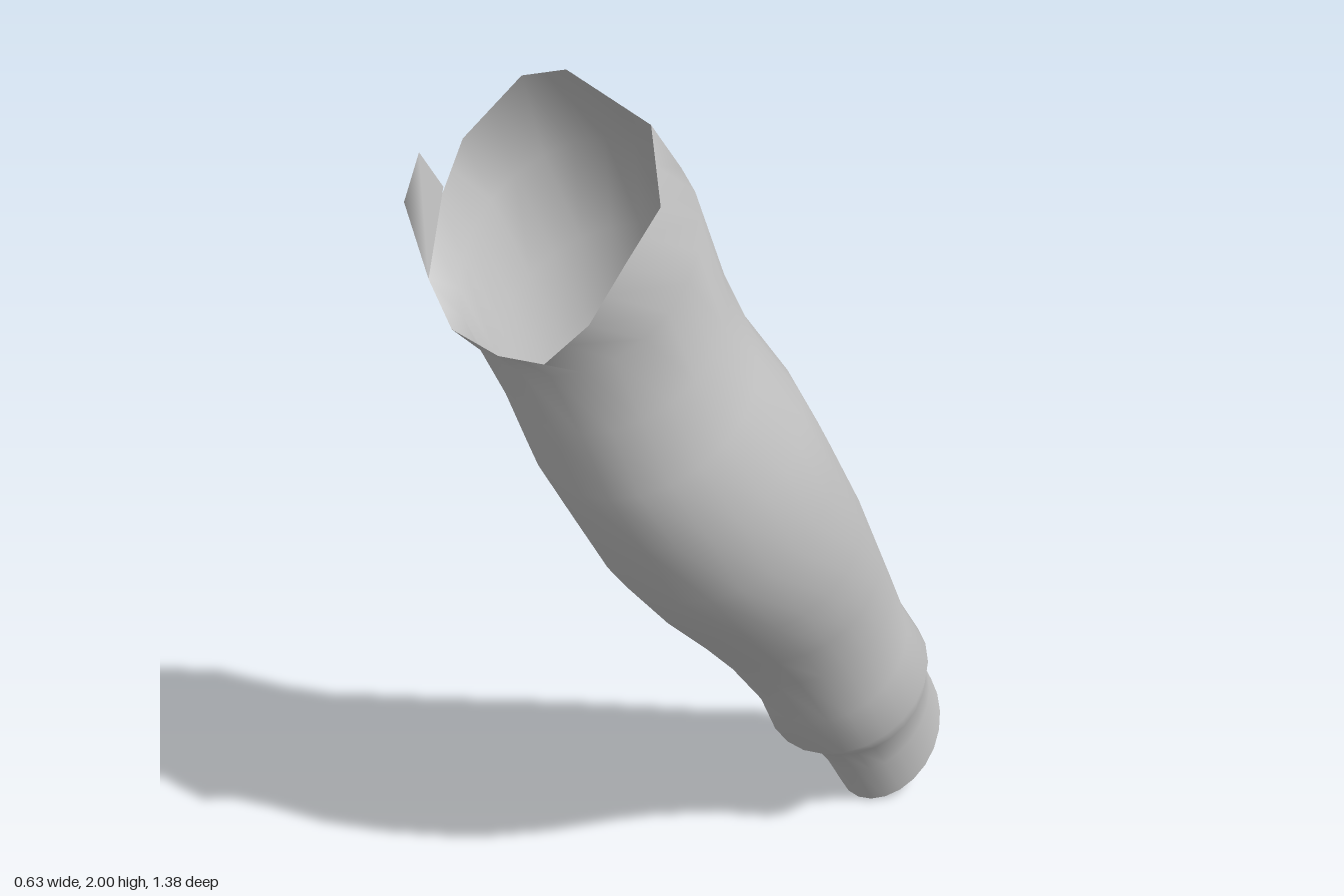
import * as THREE from 'three';

const SIDES = 24;

// Uneven upper opening, anticlockwise seen from above, starting at the left side
const RIM = [
  [0.22, 1.76, 0.65], [0.22, 1.83, 0.54], [0.16, 1.95, 0.48], [-0.05, 2.0, 0.44],
  [-0.15, 1.97, 0.44], [-0.26, 1.84, 0.48], [-0.27, 1.74, 0.54], [-0.25, 1.61, 0.61],
  [-0.16, 1.55, 0.66], [-0.04, 1.535, 0.68], [0.07, 1.55, 0.69], [0.17, 1.65, 0.69],
];

// Tilted oval sections from top to bottom: front y, z, back y, z, x min, x max
const SECTIONS = [
  [1.50, 0.655, 1.83, 0.29, -0.25, 0.23],
  [1.37, 0.60, 1.64, 0.22, -0.215, 0.245],
  [1.22, 0.55, 1.50, 0.15, -0.195, 0.27],
  [1.09, 0.48, 1.34, 0.03, -0.18, 0.305],
  [0.93, 0.38, 1.19, -0.07, -0.17, 0.315],
  [0.78, 0.24, 1.00, -0.20, -0.16, 0.305],
  [0.65, 0.10, 0.84, -0.305, -0.14, 0.28],
  [0.55, 0.00, 0.73, -0.375, -0.125, 0.265],
  [0.38, -0.14, 0.58, -0.47, -0.10, 0.245],
  [0.27, -0.20, 0.46, -0.56, -0.105, 0.255],
  [0.21, -0.30, 0.37, -0.60, -0.075, 0.215],
  [0.12, -0.38, 0.31, -0.645, -0.055, 0.195],
  [0.0, -0.46, 0.25, -0.69, -0.05, 0.185],
];

function surface(name, points, index) {
  const geometry = new THREE.BufferGeometry();
  geometry.setAttribute('position', new THREE.Float32BufferAttribute(points, 3));
  geometry.setIndex(index);
  geometry.computeVertexNormals();
  const material = new THREE.MeshStandardMaterial({ color: 0xcccccc, side: THREE.DoubleSide });
  const mesh = new THREE.Mesh(geometry, material);
  mesh.name = name;
  return mesh;
}

function rimPoint(j) {
  const t = (j * RIM.length) / SIDES;
  const k = Math.floor(t);
  const next = RIM[(k + 1) % RIM.length];
  return RIM[k].map((v, axis) => THREE.MathUtils.lerp(v, next[axis], t - k));
}

function sectionPoint([fy, fz, by, bz, x0, x1], j, sag) {
  const angle = (j / SIDES) * Math.PI * 2;
  const c = Math.cos(angle), s = Math.sin(angle);
  return [
    (x0 + x1) / 2 + (c * (x1 - x0)) / 2,
    (fy + by) / 2 + (s * (by - fy)) / 2 - sag * c * c,
    (fz + bz) / 2 + (s * (bz - fz)) / 2 - sag * c * c,
  ];
}

export function createModel() {
  const group = new THREE.Group();
  group.name = 'lowerLeg';

  // Open sleeve lofted from the rim down to the narrow ankle
  const points = [], index = [];
  for (let i = 0; i <= SECTIONS.length; i++) {
    const sag = i === SECTIONS.length ? 0.025 : 0;
    for (let j = 0; j < SIDES; j++) {
      points.push(...(i === 0 ? rimPoint(j) : sectionPoint(SECTIONS[i - 1], j, sag)));
      if (i === SECTIONS.length) continue;
      const a = i * SIDES + j, d = i * SIDES + ((j + 1) % SIDES);
      index.push(a, a + SIDES, d + SIDES, a, d + SIDES, d);
    }
  }
  group.add(surface('legSleeve', points, index));

  // Small torn flap on the right edge of the upper opening
  const flap = [-0.25, 1.61, 0.61, -0.315, 1.74, 0.59, -0.265, 1.85, 0.60, -0.27, 1.76, 0.53];
  group.add(surface('rimFlap', flap, [0, 2, 1, 0, 3, 2]));

  return group;
}
